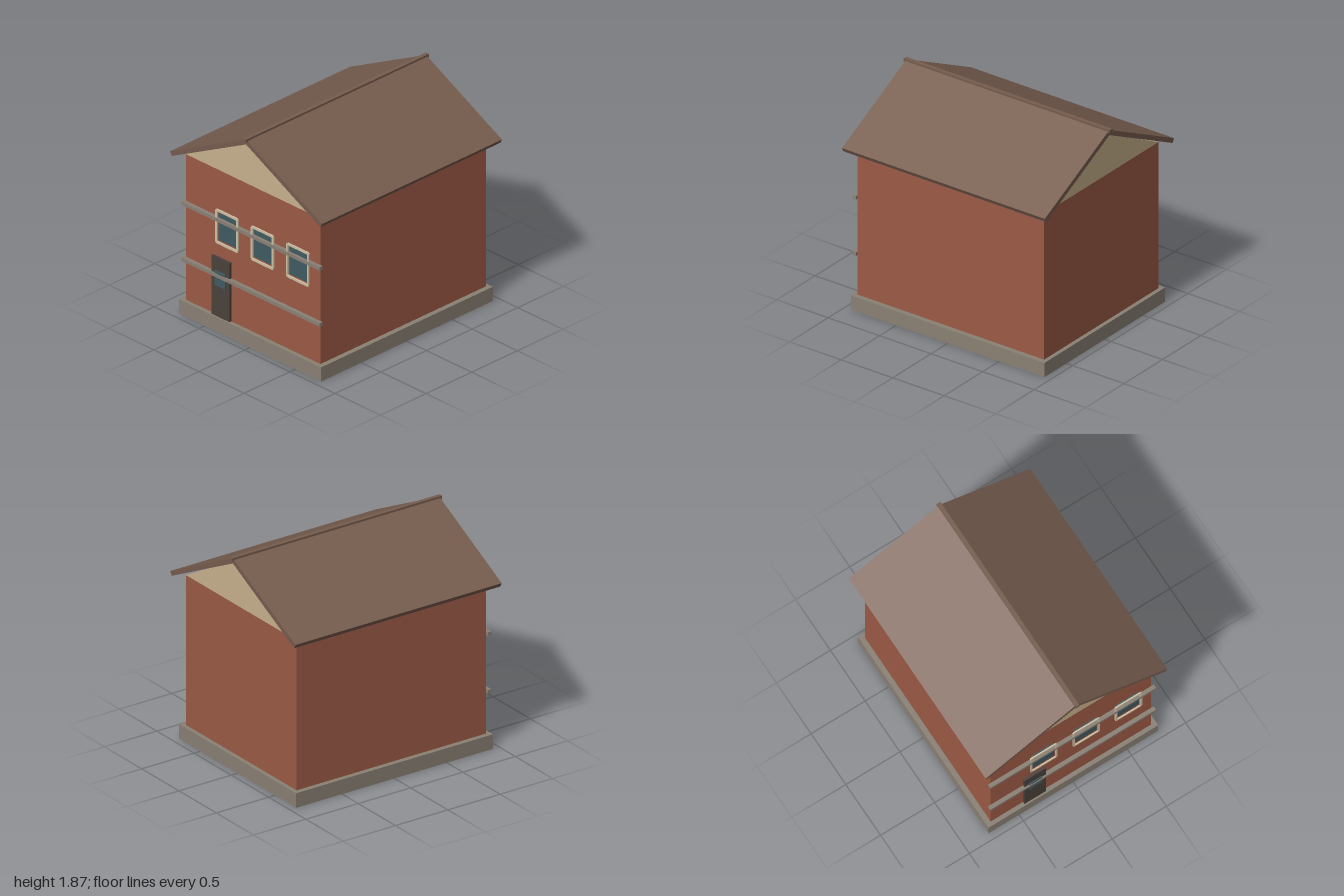
import * as THREE from 'three';

const mat = (color) => new THREE.MeshStandardMaterial({ color });

export function createModel() {
  const house = new THREE.Group();
  house.name = 'house';
  const brick = mat(0x9c5a45), plaster = mat(0xc8b08c), roofTile = mat(0x765c4e);
  const stone = mat(0x8a8074), wood = mat(0x4a413c), glass = mat(0x3f5a62), trim = mat(0xcfc0a4);

  const add = (name, geometry, material, parent = house) => {
    const mesh = new THREE.Mesh(geometry, material);
    mesh.name = name;
    parent.add(mesh);
    return mesh;
  };
  // Box given by its low and high limits on each axis
  const box = (name, [x0, x1], [y0, y1], [z0, z1], material, parent) => {
    const mesh = add(name, new THREE.BoxGeometry(x1 - x0, y1 - y0, z1 - z0), material, parent);
    mesh.position.set((x0 + x1) / 2, (y0 + y1) / 2, (z0 + z1) / 2);
    return mesh;
  };
  // Outline in x/y extruded along z, from -half to +half
  const prism = (name, points, half, material) => {
    const shape = new THREE.Shape(points.map(([x, y]) => new THREE.Vector2(x, y)));
    const geometry = new THREE.ExtrudeGeometry(shape, { depth: half * 2, bevelEnabled: false });
    return add(name, geometry.translate(0, 0, -half), material);
  };

  // Plinth, walls and gables
  const wallZ = 0.905;
  box('plinth', [-0.785, 0.785], [0, 0.125], [-0.94, 0.94], stone);
  box('walls', [-0.742, 0.742], [0.125, 1.41], [-wallZ, wallZ], brick);
  prism('gables', [[-0.742, 1.41], [0.742, 1.41], [0, 1.81]], wallZ, plaster);

  // Two sloping roof slabs and the ridge cap
  for (const [name, s] of [['leftRoofSlab', 1], ['rightRoofSlab', -1]]) {
    prism(name, [[0, 1.812], [s * 0.822, 1.395], [s * 0.84, 1.43], [0, 1.857]], 0.985, roofTile);
  }
  box('ridgeCap', [-0.017, 0.017], [1.835, 1.866], [-1, 1], roofTile);

  // Horizontal bands across the front
  for (const y of [0.49, 0.985]) {
    box('frontBand', [-0.765, 0.765], [y - 0.015, y + 0.015], [wallZ, 0.939], stone);
  }

  // Windows: glass pane with a rounded frame standing off the wall
  const roundedRect = (path, w, h, r) => {
    const x = w / 2, y = h / 2;
    path.moveTo(-x + r, -y).lineTo(x - r, -y).quadraticCurveTo(x, -y, x, -y + r);
    path.lineTo(x, y - r).quadraticCurveTo(x, y, x - r, y);
    path.lineTo(-x + r, y).quadraticCurveTo(-x, y, -x, y - r);
    path.lineTo(-x, -y + r).quadraticCurveTo(-x, -y, -x + r, -y);
    return path;
  };
  const frameShape = roundedRect(new THREE.Shape(), 0.25, 0.304, 0.02);
  frameShape.holes.push(roundedRect(new THREE.Path(), 0.214, 0.264, 0.006));
  const frameGeometry = new THREE.ExtrudeGeometry(frameShape, { depth: 0.012, bevelEnabled: false, curveSegments: 4 });
  for (const x of [-0.267, 0.126, 0.517]) {
    const win = new THREE.Group();
    win.name = 'window';
    win.position.set(x, 0.926, wallZ);
    house.add(win);
    box('windowPane', [-0.104, 0.104], [-0.125, 0.125], [-0.005, 0.012], glass, win);
    add('windowFrame', frameGeometry, trim, win).position.z = 0.018;
  }

  // Front door with a small pane
  box('door', [-0.443, -0.243], [0.125, 0.645], [wallZ - 0.005, 0.926], wood);
  box('doorPane', [-0.4, -0.286], [0.4, 0.53], [0.92, 0.934], glass);

  return house;
}
